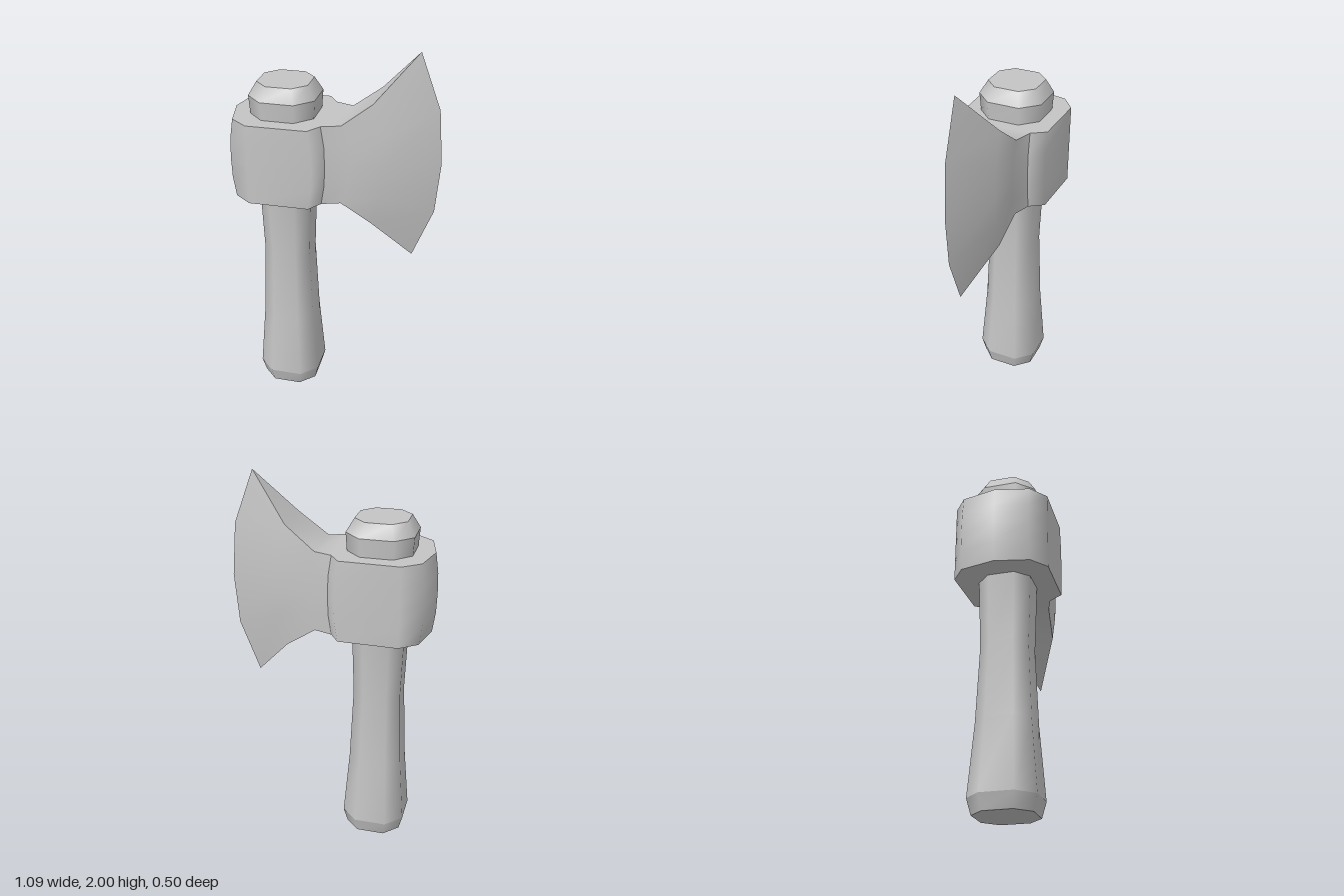
import * as THREE from 'three';

const steel = new THREE.MeshStandardMaterial({ color: 0xc4c4c4 });
steel.name = 'plain grey';

// Smooth skin over a grid of points: columns run to the right, rows run up.
function skin(rows, closed = false) {
  const n = rows[0].length;
  const index = [];
  for (let i = 0; i < rows.length - 1; i++) {
    for (let j = 0; j < (closed ? n : n - 1); j++) {
      const k = (j + 1) % n;
      const a = i * n + j, b = i * n + k, c = b + n, d = a + n;
      index.push(a, b, c, a, c, d);
    }
  }
  const geometry = new THREE.BufferGeometry();
  geometry.setAttribute('position', new THREE.Float32BufferAttribute(rows.flat(2), 3));
  geometry.setIndex(index);
  geometry.computeVertexNormals();
  return geometry;
}

function add(group, name, geometry) {
  const mesh = new THREE.Mesh(geometry, steel);
  mesh.name = name;
  group.add(mesh);
}

// Eight-sided handle ring
const octagon = [[-0.5, 1], [0.5, 1], [1, 0.5], [1, -0.5], [0.5, -1], [-0.5, -1], [-1, -0.5], [-1, 0.5]];
const ring = ([r, y]) => octagon.map(([x, z]) => [x * r, y, z * r]);

function createHandle() {
  const handle = new THREE.Group();
  handle.name = 'handle';
  handle.position.x = -0.262;
  const butt = [0.15, 0], heel = [0.171, 0.08], shoulder = [0.172, 1.74], crown = [0.132, 1.81];
  const shaft = [heel, [0.142, 0.45], [0.126, 0.85], [0.138, 1.22], [0.165, 1.64], shoulder];
  add(handle, 'handleShaft', skin(shaft.map(ring), true));
  add(handle, 'handleButtBevel', skin([butt, heel].map(ring), true));
  add(handle, 'handleTopBevel', skin([shoulder, crown].map(ring), true));
  // Flat ends, each a fan closing on the centre
  const centre = (y) => octagon.map(() => [0, y, 0]);
  add(handle, 'handleTop', skin([ring(crown), centre(1.81)], true));
  add(handle, 'handleButt', skin([centre(0), ring(butt)], true));
  return handle;
}

// Head columns from poll to cutting edge:
// x at mid height, x at the ends, bottom y, top y, z at mid height, z at the ends
const columns = [
  [-0.548, -0.53, 1.22, 1.645, 0, 0],
  [-0.51, -0.49, 1.22, 1.645, 0.18, 0.18],
  [-0.40, -0.40, 1.22, 1.645, 0.25, 0.25],
  [-0.07, -0.09, 1.22, 1.645, 0.245, 0.245],
  [-0.02, -0.04, 1.22, 1.645, 0.172, 0.172],
  [0.10, 0.055, 1.22, 1.645, 0.14, 0.14],
  [0.27, 0.21, 1.115, 1.765, 0.13, 0.123],
  [0.542, 0.413, 0.885, 2, 0, 0],
];

// Point on a column at height t (-1 bottom, 1 top), on the front or back side
function headPoint([xMid, xEnd, y0, y1, zMid, zEnd], t, side) {
  const bow = Math.abs(t) ** 2.5;
  const y = t < 0 ? 1.43 + (1.43 - y0) * t : 1.43 + (y1 - 1.43) * t;
  return [xMid + (xEnd - xMid) * bow, y, side * (zMid + (zEnd - zMid) * bow)];
}

function createHead() {
  const head = new THREE.Group();
  head.name = 'axeHead';
  const levels = [-1, -0.5, 0, 0.5, 1];
  const row = (cols, t, side) => cols.map((c) => headPoint(c, t, side));

  // Poll and cheeks wrap round the back of the head
  const poll = columns.slice(0, 5);
  add(head, 'poll', skin(levels.map((t) =>
    [...row(poll.slice(1).reverse(), t, -1), ...row(poll, t, 1)])));

  // Blade sides
  const blade = columns.slice(4);
  add(head, 'bladeFront', skin(levels.map((t) => row(blade, t, 1))));
  add(head, 'bladeBack', skin(levels.map((t) => row([...blade].reverse(), t, -1))));

  // Upper and lower faces
  add(head, 'headTop', skin([row(columns, 1, 1), row(columns, 1, -1)]));
  add(head, 'headUnderside', skin([row(columns, -1, -1), row(columns, -1, 1)]));
  return head;
}

export function createModel() {
  const model = new THREE.Group();
  model.name = 'axe';
  model.add(createHandle(), createHead());
  return model;
}
